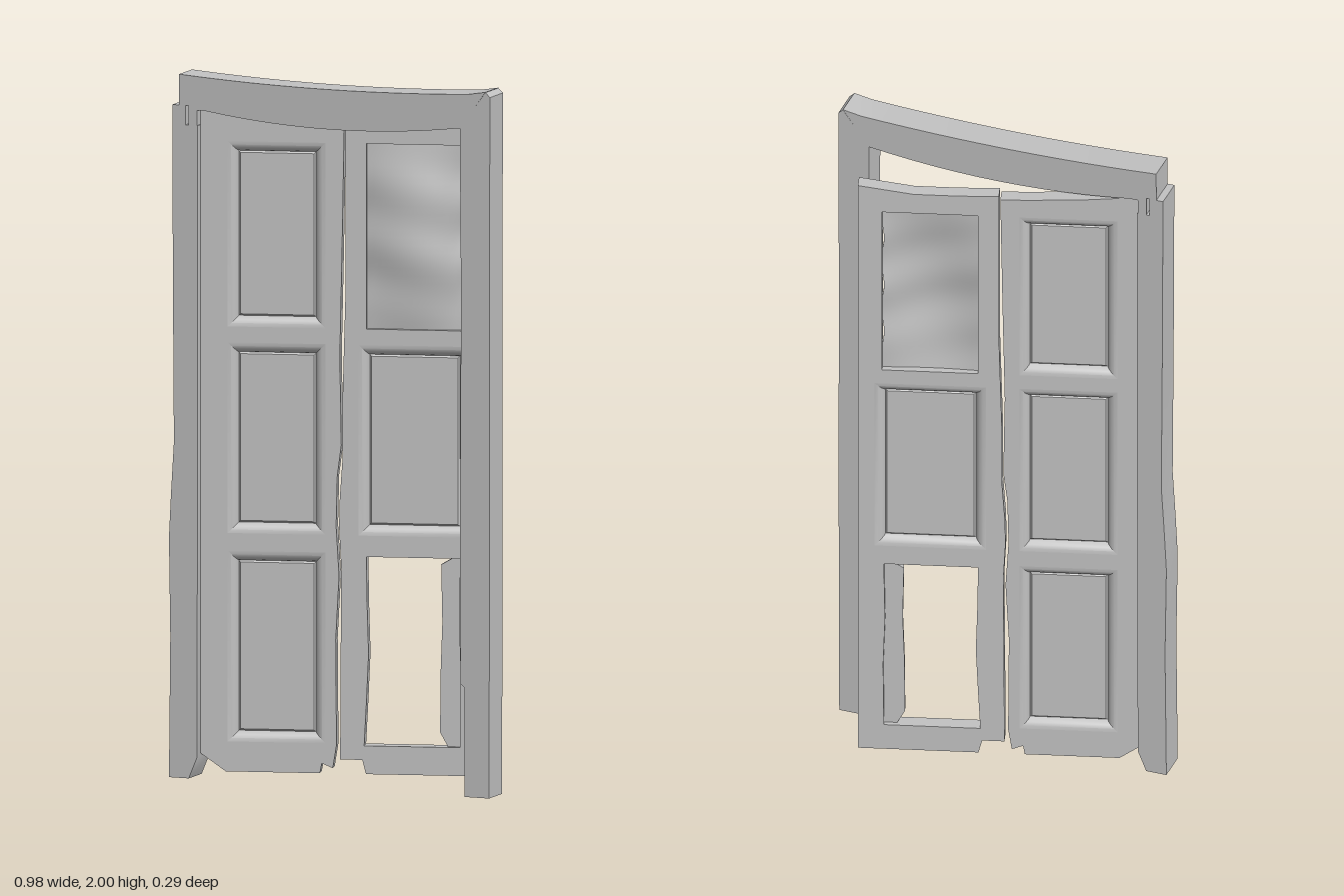
import * as THREE from 'three';
import { toCreasedNormals } from 'three/addons/utils/BufferGeometryUtils.js';

const TILT = 0.28;             // swing of the door
const HALF = 0.022;            // half thickness of the leaves
const BACK = 0.05, FRONT = 0.142; // depth of the frame
const C = Math.cos(TILT);
const wood = new THREE.MeshStandardMaterial({ color: 0xc2c2c2, side: THREE.DoubleSide });
wood.name = 'light grey wood';

function add(parent, name, geometry) {
  const mesh = new THREE.Mesh(geometry, wood);
  mesh.name = name;
  parent.add(mesh);
}

// Flat board cut from an outline, optionally with holes
function board(points, z0, z1, holes = []) {
  const toVec = ([x, y]) => new THREE.Vector2(x, y);
  const shape = new THREE.Shape(points.map(toVec));
  for (const h of holes) shape.holes.push(new THREE.Path(h.map(toVec)));
  const g = new THREE.ExtrudeGeometry(shape, { depth: z1 - z0, bevelEnabled: false });
  g.translate(0, 0, z0);
  return toCreasedNormals(g, 0.4);
}

// Leaf outlines are given as seen from the front, then widened for the swing
const widen = (pts) => pts.map(([x, y]) => [x / C, y]);
const rect = ([x0, x1, y0, y1]) => [[x0, y0], [x1, y0], [x1, y1], [x0, y1]];

// Sunken panel with rounded rim, same on both faces: nested rectangles [inset, z]
function mouldedPanel([x0, x1, y0, y1]) {
  const profile = [[0, HALF], [0.01, 0.0205], [0.019, 0.016], [0.026, 0.009], [0.029, 0.001], [0.034, 0.006]];
  const pos = [];
  for (const side of [1, -1]) {
    const loops = profile.map(([d, z]) =>
      rect([x0 / C + d, x1 / C - d, y0 + d, y1 - d]).map(([x, y]) => [x, y, z * side]));
    const quad = (a, b, c, d) => {
      const q = side > 0 ? [a, b, c, a, c, d] : [a, c, b, a, d, c];
      q.forEach((p) => pos.push(...p));
    };
    for (let k = 0; k + 1 < loops.length; k++)
      for (let i = 0; i < 4; i++) {
        const j = (i + 1) % 4;
        quad(loops[k][i], loops[k][j], loops[k + 1][j], loops[k + 1][i]);
      }
    quad(...loops[loops.length - 1]);
  }
  const g = new THREE.BufferGeometry();
  g.setAttribute('position', new THREE.Float32BufferAttribute(pos, 3));
  return toCreasedNormals(g, 0.45);
}

// Swollen, rippled panel sprung out of its rebate
function warpedPanel([x0, x1, y0, y1]) {
  const w = (x1 - x0) / C, h = y1 - y0;
  const g = new THREE.BoxGeometry(w, h, 0.012, 14, 24, 1);
  const p = g.attributes.position;
  for (let i = 0; i < p.count; i++) {
    const u = p.getX(i) / w + 0.5, v = p.getY(i) / h + 0.5;
    const bulge = 0.03 * Math.sin(Math.PI * u) * Math.sin(Math.PI * Math.min(1, v * 0.9 + 0.05));
    const ripple = 0.003 * Math.sin(v * 17 + u * 2.5) * (0.3 + Math.sin(Math.PI * v));
    p.setZ(i, p.getZ(i) + bulge + ripple);
    p.setX(i, p.getX(i) + (u > 0.99 ? 0.005 * Math.sin(v * 21) : 0));
  }
  g.translate((x0 + x1) / 2 / C, (y0 + y1) / 2, 0);
  g.computeVertexNormals();
  return g;
}

export function createModel() {
  const model = new THREE.Group();
  model.name = 'brokenDoor';

  // Frame
  const frame = new THREE.Group();
  frame.name = 'frame';
  model.add(frame);
  add(frame, 'leftJamb', board([
    [-0.49, 0], [-0.43, 0], [-0.405, 0.06], [-0.403, 0.9], [-0.403, 1.85],
    [-0.44, 1.85], [-0.44, 1.905], [-0.48, 1.905], [-0.478, 1.4], [-0.475, 0.95], [-0.484, 0.8],
    [-0.49, 0.68], [-0.486, 0.4],
  ], BACK, FRONT));
  add(frame, 'rightJamb', board([
    [0.41, 0], [0.485, 0], [0.487, 0.8], [0.486, 1.4], [0.488, 1.985], [0.474, 1.998],
    [0.396, 1.893], [0.4, 1.4], [0.396, 0.7], [0.398, 0.32], [0.41, 0.31],
  ], BACK, FRONT));

  // Sagging lintel, mitred on the right, with a splinter tab on the left
  const lintel = [[-0.46, 1.905], [-0.43, 1.905], [-0.43, 1.85], [-0.405, 1.85], [-0.405, 1.893]];
  for (let i = 0; i <= 12; i++) {
    const x = -0.38 + i * 0.0647;
    lintel.push([x, 1.864 + 0.029 * ((x - 0.01) / 0.39) ** 2]);
  }
  lintel.push([0.474, 1.999]);
  for (let i = 0; i <= 12; i++) {
    const x = 0.42 - i * 0.0733;
    lintel.push([x, 1.977 + 0.014 * (x / 0.44) ** 2]);
  }
  add(frame, 'lintel', board(lintel, BACK, FRONT));

  // Door, swung back on the right
  const door = new THREE.Group();
  door.name = 'door';
  door.rotation.y = TILT;
  door.position.set(-0.006, 0, -0.017);
  model.add(door);

  // Left leaf
  const leftPanels = [[0.105, 0.645], [0.695, 1.235], [1.28, 1.805]].map(([a, b]) => [-0.33, -0.065, a, b]);
  add(door, 'leftLeaf', board(widen([
    [-0.403, 0.07], [-0.335, 0.02], [-0.08, 0.02], [-0.075, 0.048], [-0.045, 0.035], [-0.035, 0.1],
    [-0.037, 0.4], [-0.028, 0.58], [-0.036, 0.72], [-0.033, 0.86], [-0.022, 0.95], [-0.026, 1.2],
    [-0.02, 1.5], [-0.014, 1.86], [-0.12, 1.865], [-0.24, 1.872], [-0.32, 1.88], [-0.403, 1.893],
  ]), -HALF, HALF, leftPanels.map((r) => widen(rect(r)))));
  leftPanels.forEach((r) => add(door, 'leftPanel', mouldedPanel(r)));

  // Right leaf
  const middle = [0.025, 0.325, 0.695, 1.235];
  const upper = [0.046, 0.305, 1.28, 1.805];
  const lowerHole = [
    [0.04, 0.1], [0.3, 0.1], [0.302, 0.3], [0.297, 0.45], [0.3, 0.635], [0.046, 0.635],
    [0.048, 0.5], [0.052, 0.36], [0.046, 0.22],
  ];
  add(door, 'rightLeaf', board(widen([
    [-0.025, 0.06], [0.035, 0.06], [0.045, 0.02], [0.37, 0.02], [0.37, 1.89], [0.22, 1.868],
    [0.1, 1.868], [-0.01, 1.872], [-0.01, 1.4], [-0.018, 1.1], [-0.018, 0.92], [-0.026, 0.8],
    [-0.028, 0.72], [-0.022, 0.6], [-0.024, 0.3],
  ]), -HALF, HALF, [widen(rect(middle)), widen(rect(upper)), widen(lowerHole)]));
  add(door, 'rightMiddlePanel', mouldedPanel(middle));
  add(door, 'warpedUpperPanel', warpedPanel(upper));

  // Remains of the missing lower panel
  add(door, 'brokenPanelPiece', board(widen([
    [0.265, 0.1], [0.305, 0.1], [0.305, 0.635], [0.28, 0.635], [0.247, 0.615], [0.25, 0.45],
    [0.245, 0.3], [0.244, 0.14],
  ]), -0.008, 0.006));

  return model;
}
